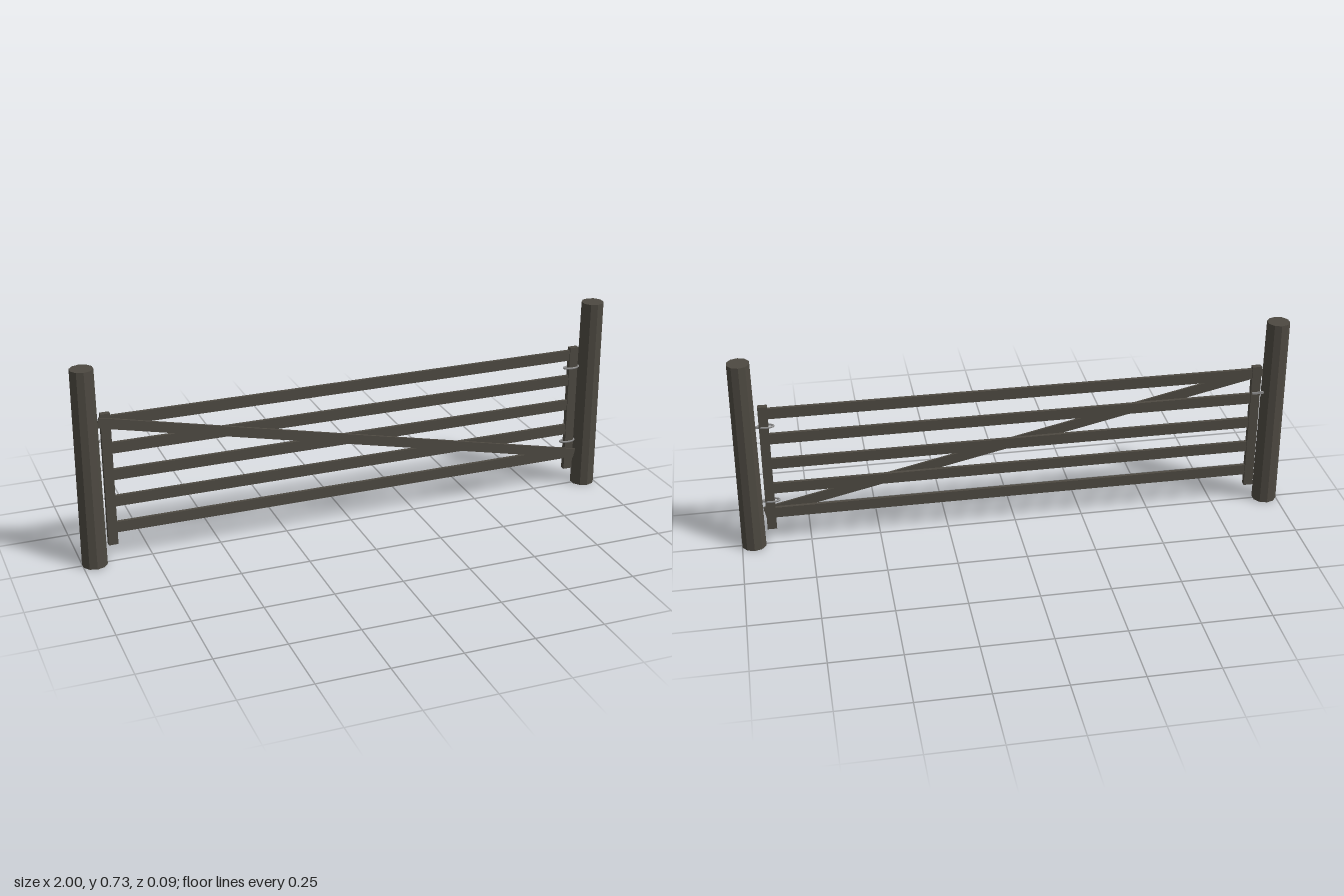
import * as THREE from 'three';

export function createModel() {
  const gate = new THREE.Group();
  gate.name = 'fieldGate';

  const wood = new THREE.MeshStandardMaterial({ color: 0x4d4941, flatShading: true });
  wood.name = 'weatheredWood';
  const metal = new THREE.MeshStandardMaterial({ color: 0x8c8c8c });
  metal.name = 'galvanisedMetal';

  function add(name, geometry, material, x, y, z) {
    const mesh = new THREE.Mesh(geometry, material);
    mesh.name = name;
    mesh.position.set(x, y, z);
    gate.add(mesh);
    return mesh;
  }

  // Tapered ten-sided posts and the upright stiles beside them
  for (const [side, s] of [['left', 1], ['right', -1]]) {
    add(side + 'Post', new THREE.CylinderGeometry(0.041, 0.045, 0.73, 10), wood, s * 0.957, 0.365, 0);
    add(side + 'Stile', new THREE.BoxGeometry(0.034, 0.494, 0.02), wood, s * 0.888, 0.313, -0.002);
  }

  // Five horizontal rails
  for (let i = 0; i < 5; i++) {
    add('rail' + (i + 1), new THREE.BoxGeometry(1.77, 0.04, 0.012), wood, 0, 0.13 + i * 0.1, -0.001);
  }

  // Diagonal brace on the front face
  const dx = 1.826, dy = -0.405;
  const brace = add('brace', new THREE.BoxGeometry(Math.hypot(dx, dy), 0.037, 0.008), wood, -0.003, 0.33, 0.009);
  brace.rotation.z = Math.atan2(dy, dx);

  // Metal hinge loops around the left stile
  for (const [name, y] of [['lowerHinge', 0.18], ['upperHinge', 0.48]]) {
    const ring = new THREE.TorusGeometry(0.028, 0.004, 8, 24);
    ring.rotateX(Math.PI / 2);
    ring.scale(1, 1, 0.45);
    add(name, ring, metal, 0.882, y, -0.001);
    add(name + 'Pin', new THREE.BoxGeometry(0.018, 0.007, 0.008), metal, 0.915, y, -0.004);
  }

  // Latch bar reaching from the right stile to its post
  add('latch', new THREE.BoxGeometry(0.048, 0.008, 0.008), metal, -0.899, 0.455, -0.012);

  return gate;
}
